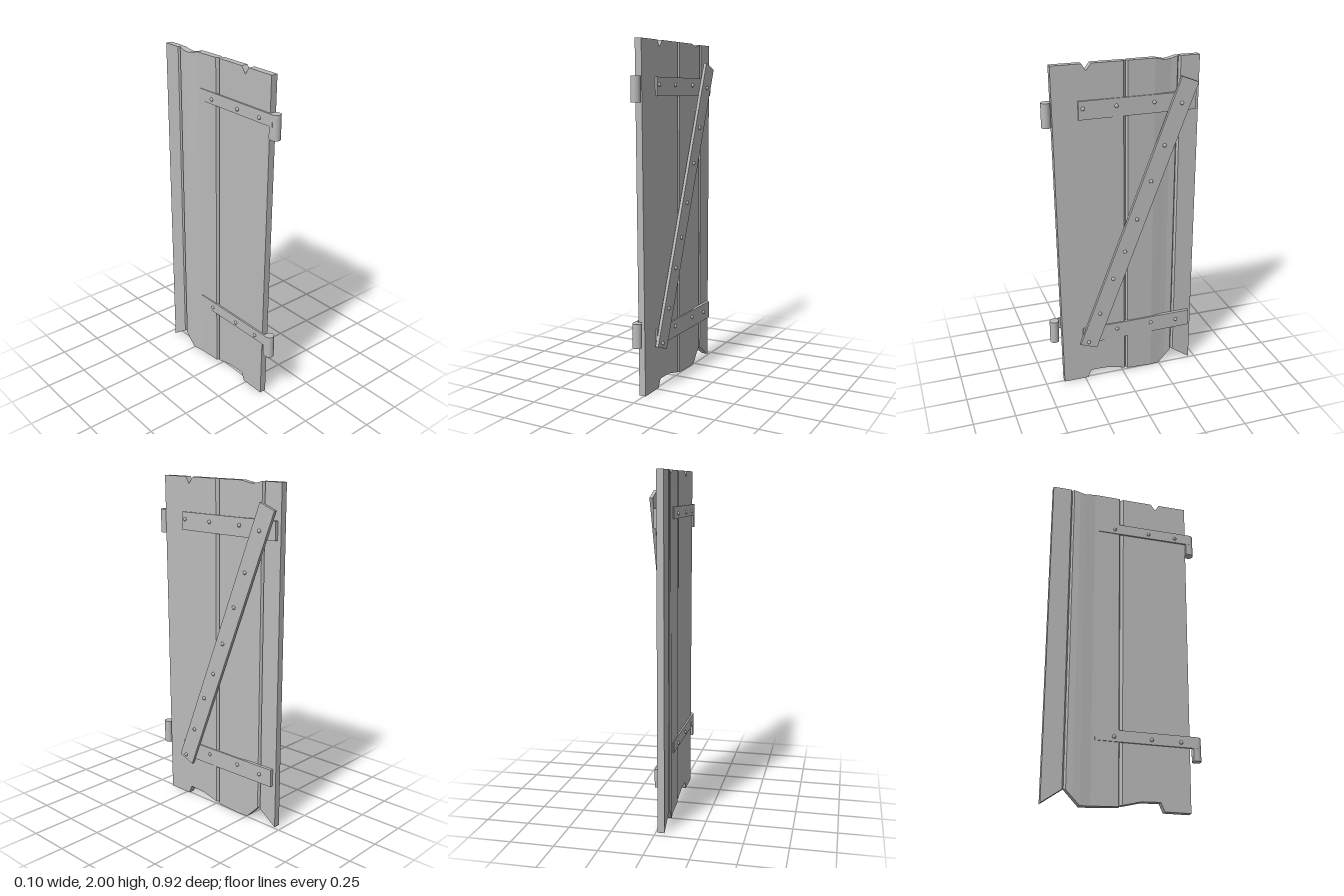
import * as THREE from 'three';

const grey = new THREE.MeshStandardMaterial({ color: 0xbbbbbb });
grey.name = 'plain grey';

// Plank from columns [zTop, zBottom, xBack, xFront, yBottom, yTop], ordered from +z to -z
function plankGeometry(columns) {
  const pos = [];
  const quad = (a, b, c, d) => [a, b, c, a, c, d].forEach(p => pos.push(...p));
  const rings = columns.map(([zt, zb, b, f, y0, y1]) => ({
    B0: [b, y0, zb], F0: [f, y0, zb], F1: [f, y1, zt], B1: [b, y1, zt],
  }));
  for (let i = 0; i < rings.length - 1; i++) {
    const a = rings[i], b = rings[i + 1];
    quad(a.F0, b.F0, b.F1, a.F1);
    quad(b.B0, a.B0, a.B1, b.B1);
    quad(a.B1, a.F1, b.F1, b.B1);
    quad(b.B0, b.F0, a.F0, a.B0);
  }
  const s = rings[0], e = rings[rings.length - 1];
  quad(s.B0, s.F0, s.F1, s.B1);
  quad(e.F0, e.B0, e.B1, e.F1);
  const g = new THREE.BufferGeometry();
  g.setAttribute('position', new THREE.Float32BufferAttribute(pos, 3));
  g.computeVertexNormals();
  return g;
}

export function createModel() {
  const door = new THREE.Group();
  door.name = 'plankDoor';
  const add = (name, geometry, x = 0, y = 0, z = 0) => {
    const m = new THREE.Mesh(geometry, grey);
    m.name = name;
    m.position.set(x, y, z);
    door.add(m);
    return m;
  };

  // Planks: chipped ends, edges thinning into V grooves
  add('hingePlank', plankGeometry([
    [0.41, 0.385, -0.03, 0.01, 0, 2],
    [0.235, 0.232, -0.03, 0.01, 0, 2],
    [0.21, 0.21, -0.03, 0.01, 0.05, 1.96],
    [0.18, 0.18, -0.03, 0.01, 0.05, 2],
    [0.1, 0.1, -0.03, 0.01, 0.047, 2],
    [-0.003, -0.01, -0.03, 0.01, 0.02, 2],
    [-0.02, -0.024, -0.015, -0.006, 0.02, 2],
  ]));
  add('middlePlank', plankGeometry([
    [-0.02, -0.024, -0.015, -0.006, 0.012, 2],
    [-0.03, -0.032, -0.034, 0.008, 0.012, 2],
    [-0.19, -0.19, -0.036, 0.006, 0.003, 2],
    [-0.255, -0.25, -0.046, -0.004, 0, 1.985],
    [-0.29, -0.29, -0.05, -0.009, 0.04, 1.99],
    [-0.328, -0.328, -0.05, -0.01, 0.08, 2],
    [-0.338, -0.338, -0.035, -0.025, 0.085, 2],
  ]));
  add('latchPlank', plankGeometry([
    [-0.338, -0.338, -0.035, -0.025, 0.085, 2],
    [-0.348, -0.348, -0.05, -0.01, 0.08, 2],
    [-0.462, -0.462, -0.05, -0.01, 0, 2],
  ]));

  // Cross battens, leaning slightly with the planks
  const lean = 0.0143;
  for (const [name, y] of [['upperBatten', 1.745], ['lowerBatten', 0.312]]) {
    add(name, new THREE.BoxGeometry(0.02, 0.106, 0.7), 0.005, y, -0.09).rotation.y = lean;
  }

  // Diagonal brace
  add('diagonalBrace', new THREE.BoxGeometry(0.018, 1.743, 0.11), 0.0235, 1.059, -0.0825)
    .rotation.set(-0.3666, 0, 0.003);

  // Bolt heads
  const bolt = new THREE.SphereGeometry(0.012, 8, 3, 0, Math.PI * 2, 0, Math.PI / 2)
    .rotateZ(-Math.PI / 2);
  const backBolt = bolt.clone().rotateY(Math.PI);
  const braceBolts = [[-0.345, 1.74], [-0.245, 1.5], [-0.165, 1.29], [-0.08, 1.06],
    [-0.005, 0.86], [0.07, 0.69], [0.155, 0.465], [0.23, 0.275]];
  for (const [z, y] of braceBolts) add('braceBolt', bolt, 0.033 - 0.003 * (y - 1.06), y, z);
  const battenBolts = [[0.235, 1.755], [0.04, 1.755], [-0.185, 1.755],
    [0.04, 0.325], [-0.185, 0.325], [-0.355, 0.315]];
  for (const [z, y] of battenBolts) add('battenBolt', bolt, 0.015 + lean * (z + 0.09), y, z);

  // Hinges: barrel with a strap along the back
  for (const y of [1.73, 0.37]) {
    add('hingeBarrel', new THREE.CylinderGeometry(0.027, 0.027, 0.14, 20), -0.012, y, 0.435);
    add('hingeStrap', new THREE.BoxGeometry(0.012, 0.068, 0.605), -0.034, y + 0.036, 0.1325);
    // Leaf wrapping the barrel
    add('hingeLeaf', new THREE.BoxGeometry(0.027, 0.14, 0.025), -0.0255, y, 0.4225);
    for (const z of [0.335, 0.16, -0.06]) add('hingeBolt', backBolt, -0.039, y + 0.03, z);
  }
  return door;
}
